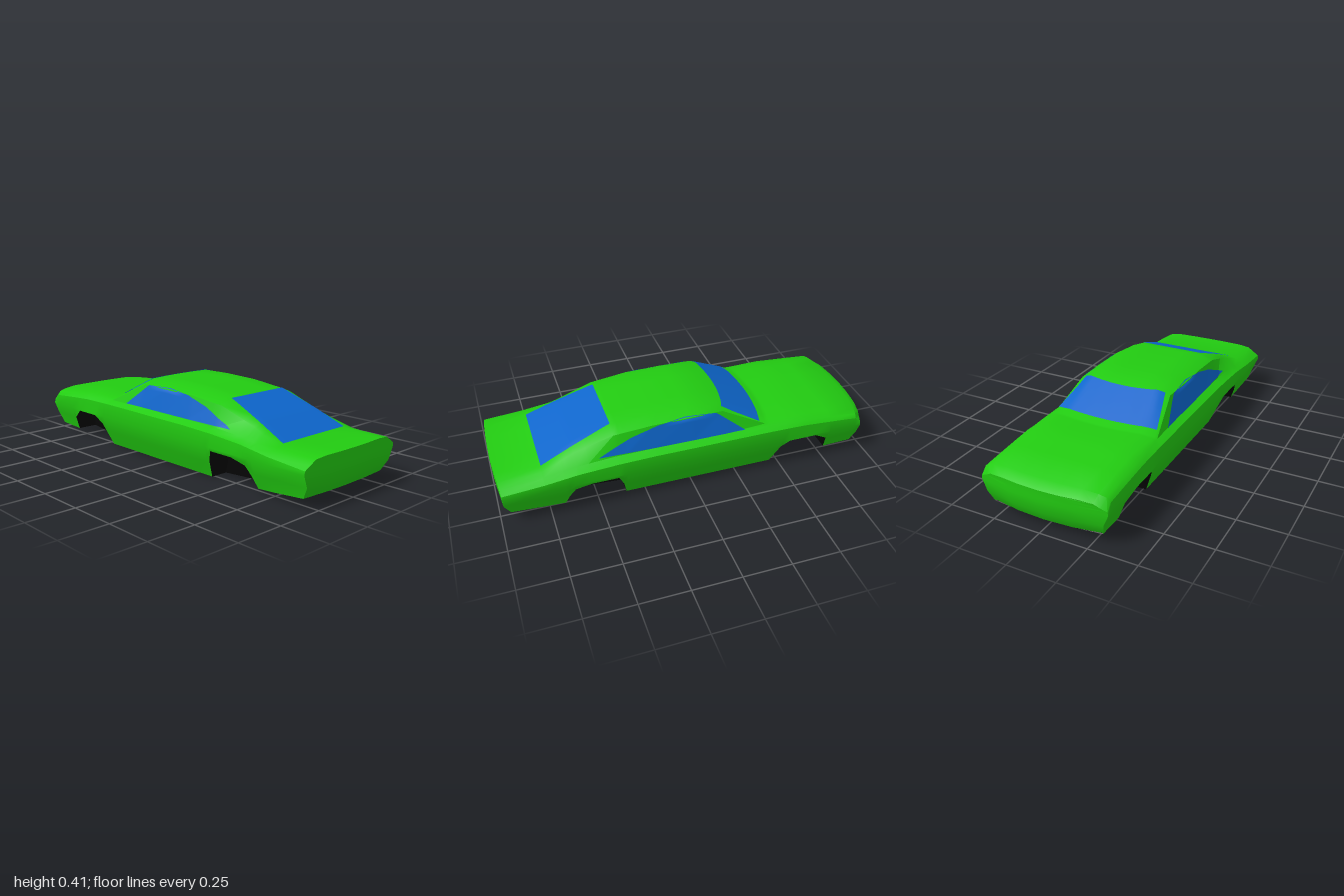
import * as THREE from 'three';
import { mergeGeometries, toCreasedNormals } from 'three/addons/utils/BufferGeometryUtils.js';

// z, belt x/y, roof edge x/y, roof x/y, bow (how far the sides are swept along z)
const UPPER = [
  [-1.0, 0.3, 0.205, 0.27, 0.222, 0.2, 0.23, 0.035],
  [-0.95, 0.312, 0.242, 0.275, 0.252, 0.2, 0.26, 0.02],
  [-0.62, 0.312, 0.265, 0.27, 0.28, 0.2, 0.289, 0.01],
  [-0.44, 0.3, 0.268, 0.285, 0.275, 0.22, 0.285, 0.04],
  [-0.2, 0.293, 0.268, 0.255, 0.388, 0.195, 0.409, 0.035],
  [0, 0.293, 0.267, 0.26, 0.388, 0.19, 0.414, 0],
  [0.2, 0.291, 0.267, 0.258, 0.385, 0.19, 0.409, 0],
  [0.4, 0.288, 0.262, 0.25, 0.365, 0.188, 0.39, 0],
  [0.6, 0.29, 0.25, 0.24, 0.3, 0.2, 0.319, 0],
  [0.77, 0.3, 0.228, 0.262, 0.238, 0.225, 0.245, 0],
  [1.0, 0.3, 0.212, 0.265, 0.233, 0.2, 0.239, -0.015],
];
// lower edge of the side skin with both wheel arches, as z, y
const EDGE = [[-1, 0.05], [-0.775, 0.035], [-0.77, 0.11], [-0.69, 0.165], [-0.54, 0.165],
  [-0.5, 0.12], [-0.46, 0], [0.35, 0], [0.37, 0.09], [0.4, 0.155], [0.54, 0.155],
  [0.62, 0.13], [0.65, 0.08], [0.67, 0.022], [1, 0.05]];
const FLOOR = [[-1, 0.05], [-0.775, 0.035], [-0.46, 0], [0.35, 0], [0.67, 0.022], [1, 0.05]];
// half width of the flank by height, as y, x
const FLANK = [[0, 0.265], [0.045, 0.29], [0.12, 0.312], [0.165, 0.334], [0.185, 0.335]];
const GLASS_TOP = [[-0.29, 0.27], [-0.14, 0.388], [0.02, 0.394], [0.17, 0.384], [0.31, 0.345], [0.49, 0.27]];

// linear interpolation in a table keyed by its first column
function sample(table, t) {
  let i = 0;
  while (i < table.length - 2 && t > table[i + 1][0]) i++;
  const a = table[i], b = table[i + 1];
  const f = THREE.MathUtils.clamp((t - a[0]) / (b[0] - a[0]), 0, 1);
  return a.map((v, k) => v + (b[k] - v) * f).slice(1);
}

// surface through rows of points
function grid(rows) {
  const n = rows[0].length, index = [];
  for (let r = 0; r < rows.length - 1; r++) {
    for (let c = 0; c < n - 1; c++) {
      const a = r * n + c, d = a + n;
      index.push(a, a + 1, d, a + 1, d + 1, d);
    }
  }
  const g = new THREE.BufferGeometry().setFromPoints(rows.flat());
  g.setIndex(index);
  g.computeVertexNormals();
  return g;
}

// places a section point, with bowed ends and tucked-under bumpers
function place(x, y, z) {
  const bow = sample(UPPER, z)[6];
  const end = Math.abs(z) > 0.94;
  const lift = end ? 1 : THREE.MathUtils.clamp((y - 0.24) / 0.04, 0, 1);
  const tuck = Math.abs(z) > 0.99 ? Math.sign(z) * Math.max(0, 0.12 - y) * 0.57 : 0;
  return new THREE.Vector3(x, y, z + bow * lift * (x / 0.3) ** 2 - tuck);
}

// half section from the lower edge to the roof, as x, y
function halfSection(z) {
  const [bx, by, ex, ey, rx, ry] = sample(UPPER, z);
  const y0 = sample(EDGE, z)[0], y1 = (y0 + 0.17) / 2;
  const flank = (y) => [sample(FLANK, y)[0], y];
  const shoulderY = Math.max(0.19, by - 0.02);
  return [flank(y0), flank(y1), flank(0.172), [0.331, shoulderY], [bx, by], [ex, ey], [rx, ry]];
}

function material(color) {
  return new THREE.MeshStandardMaterial({ color, side: THREE.DoubleSide });
}

export function createModel() {
  const car = new THREE.Group();
  const add = (name, geometry, mat) => {
    const mesh = new THREE.Mesh(geometry, mat);
    mesh.name = name;
    car.add(mesh);
    return mesh;
  };
  const paint = material(0x22cc11), glass = material(0x0d66cc), black = material(0x050505);
  const stations = [...new Set([...UPPER, ...EDGE].map((s) => s[0]))].sort((a, b) => a - b);

  // painted shell: loft along z, closed at both ends
  const shell = grid(stations.map((z) => {
    const half = halfSection(z), [rx, ry] = half[half.length - 1];
    const left = half.map(([x, y]) => place(x, y, z));
    const right = half.map(([x, y]) => place(-x, y, z)).reverse();
    return [...left, ...[0.5, 0, -0.5].map((u) => place(u * rx, ry, z)), ...right];
  }));
  const caps = [-1, 1].map((z) => grid(halfSection(z).map(([x, y]) =>
    [-1, -0.5, 0, 0.5, 1].map((u) => place(u * z * x, y, z)))));
  const body = add('body', toCreasedNormals(mergeGeometries([shell, ...caps]), 0.65), paint);

  // underside with the four wheel wells
  const floor = grid(stations.map((z) => {
    const y = sample(EDGE, z)[0], f = sample(FLOOR, z)[0], x = sample(FLANK, y)[0];
    return [[-x, y], [-0.17, y], [-0.17, f], [0, f], [0.17, f], [0.17, y], [x, y]]
      .map(([px, py]) => place(px, py, z));
  }));
  add('underside', toCreasedNormals(floor, 0.5), black);

  // glass panes are laid onto the shell by casting rays at it
  const ray = new THREE.Raycaster();
  const drape = (point, direction) => {
    ray.set(point.clone().addScaledVector(direction, -2), direction);
    const hit = ray.intersectObject(body)[0];
    return (hit ? hit.point : point).clone().addScaledVector(direction, -0.004);
  };
  const steps = (n) => Array.from({ length: n + 1 }, (_, i) => i / n);
  const down = new THREE.Vector3(0, -1, 0);

  // screen between z0 and z1 with half widths x0 and x1; its sides sweep by bow
  const screen = (name, z0, x0, z1, x1, bow) => add(name, grid(steps(20).map((t) =>
    steps(24).map((s) => {
      const u = 1 - 2 * s, x = u * THREE.MathUtils.lerp(x0, x1, t);
      const z = THREE.MathUtils.lerp(z0, z1, t) + bow * u * u;
      return drape(new THREE.Vector3(x + 1e-5, 0.3, z + 1e-5), down);
    }))), glass);
  screen('windscreen', -0.408, 0.28, -0.21, 0.23, 0.033);
  screen('rearScreen', 0.4, 0.185, 0.768, 0.226, 0);

  // side windows
  for (const side of [1, -1]) {
    const inward = new THREE.Vector3(-side, 0, 0);
    add(side > 0 ? 'leftWindow' : 'rightWindow', grid(steps(52).map((t) => {
      const z = THREE.MathUtils.lerp(-0.288, 0.488, t), top = sample(GLASS_TOP, z)[0];
      const column = steps(10).map((s) =>
        drape(new THREE.Vector3(side * 0.27, THREE.MathUtils.lerp(0.27, top, s), z + 1e-5), inward));
      return side > 0 ? column : column.reverse();
    })), glass);
  }
  return car;
}
